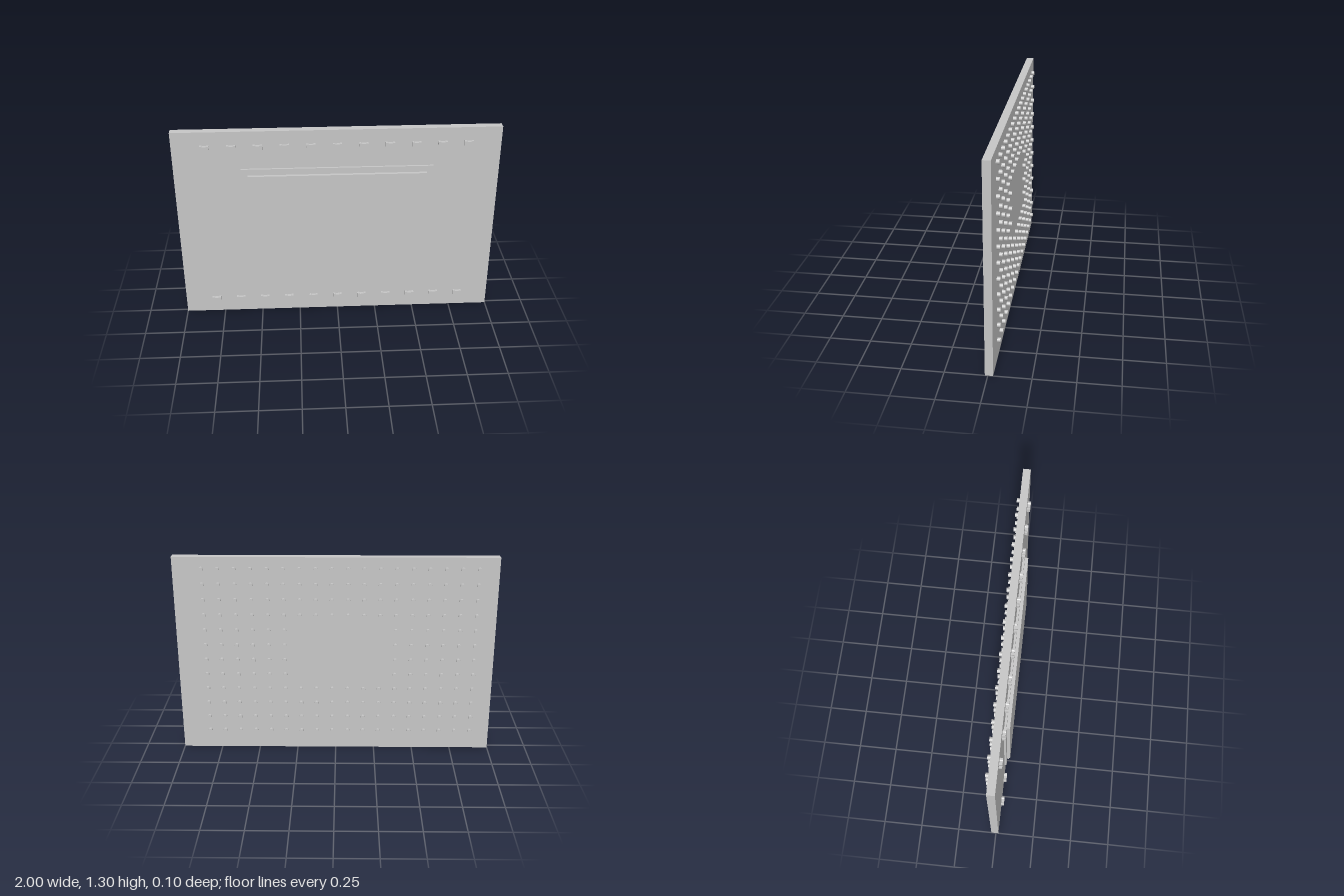
import * as THREE from 'three';

export function createModel() {
  const model = new THREE.Group();
  model.name = 'chipPackage';
  const grey = new THREE.MeshStandardMaterial({ color: 0xc6c6c6 });
  grey.name = 'lightGrey';

  const add = (name, geometry, x, y, z, parent = model) => {
    const mesh = new THREE.Mesh(geometry, grey);
    mesh.name = name;
    mesh.position.set(x, y, z);
    parent.add(mesh);
    return mesh;
  };
  const group = (name) => {
    const g = new THREE.Group();
    g.name = name;
    model.add(g);
    return g;
  };
  // Slab spanning z0 to z1, centred at height y
  const slab = (name, w, h, y, z0, z1) =>
    add(name, new THREE.BoxGeometry(w, h, z1 - z0), 0, y, (z0 + z1) / 2);

  const back = -0.03, front = 0.017;
  slab('substrate', 2, 1.3, 0.65, back, front);
  slab('lidFlange', 1.18, 0.804, 0.651, front, 0.03);
  slab('lidTop', 1.1, 0.724, 0.651, 0.03, 0.05);

  // Waisted capacitors in a row above and below the lid
  const right = [[0.011, 0.0105], [0.017, 0.014], [0.028, 0.014]];
  const top = [...right.map(([x, y]) => [-x, y]).reverse(), ...right];
  const outline = [...top, ...top.map(([x, y]) => [x, -y]).reverse()];
  const capGeometry = new THREE.ExtrudeGeometry(
    new THREE.Shape(outline.map(([x, y]) => new THREE.Vector2(x, y))),
    { depth: 0.036 - front, bevelEnabled: false });
  const capacitors = group('capacitors');
  for (const y of [0.102, 1.201])
    for (let i = 0; i < 11; i++)
      add('capacitor', capGeometry, -0.8 + i * 0.16, y, front, capacitors);

  // Grid of contact pins on the back, with an empty centre
  const pinGeometry = new THREE.CylinderGeometry(0.0135, 0.0135, 0.02, 20);
  pinGeometry.rotateX(Math.PI / 2);
  const pins = group('contactPins');
  for (let row = 0; row < 12; row++)
    for (let col = 0; col < 18; col++) {
      if (row > 3 && row < 8 && col > 5 && col < 12) continue;
      add('contactPin', pinGeometry, -0.877 + col * 0.1, 0.125 + row * 0.1, back - 0.01, pins);
    }
  return model;
}
